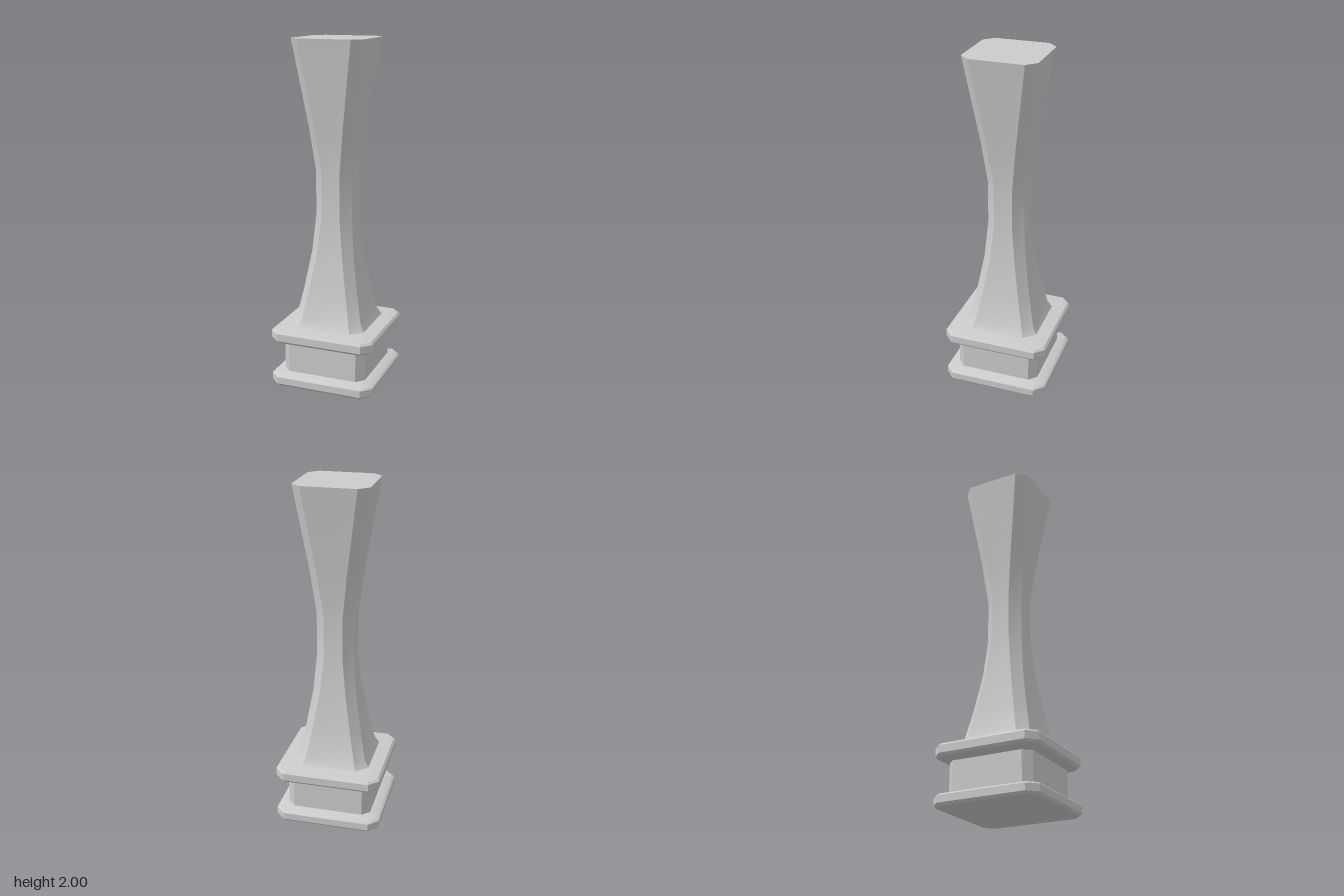
import * as THREE from 'three';
import { toCreasedNormals } from 'three/addons/utils/BufferGeometryUtils.js';

// Square with chamfered corners: h = half width, f = half length of the flat side
const outline = (h, f) => [
  [h, -f], [h, f], [f, h], [-f, h], [-h, f], [-h, -f], [-f, -h], [f, -h],
];

// Loft through [y, h, f] sections, closed at both ends
function loft(sections) {
  const pos = [], index = [], n = 8;
  for (const [y, h, f] of sections)
    for (const [x, z] of outline(h, f)) pos.push(x, y, z);
  for (let s = 0; s < sections.length - 1; s++) {
    for (let i = 0; i < n; i++) {
      const a = s * n + i, b = s * n + (i + 1) % n;
      index.push(a, a + n, b, b, a + n, b + n);
    }
  }
  const top = (sections.length - 1) * n;
  for (let i = 1; i < n - 1; i++) {
    index.push(0, i, i + 1);
    index.push(top, top + i + 1, top + i);
  }
  const geo = new THREE.BufferGeometry();
  geo.setAttribute('position', new THREE.Float32BufferAttribute(pos, 3));
  geo.setIndex(index);
  return toCreasedNormals(geo, 0.5);
}

export function createModel() {
  const group = new THREE.Group();
  const material = new THREE.MeshStandardMaterial({ color: 0xcccccc });
  const add = (name, sections) => {
    const mesh = new THREE.Mesh(loft(sections), material);
    mesh.name = name;
    group.add(mesh);
  };

  // Bevelled foot, plinth block and upper moulding in one stepped profile
  add('base', [
    [0, 0.298, 0.25],
    [0.015, 0.312, 0.257],
    [0.055, 0.312, 0.257],
    [0.065, 0.3, 0.252],
    [0.077, 0.25, 0.207],
    [0.25, 0.25, 0.207],
    [0.268, 0.3, 0.252],
    [0.282, 0.312, 0.257],
    [0.325, 0.312, 0.257],
    [0.337, 0.3, 0.252],
    [0.35, 0.225, 0.16],
  ]);

  // Waisted shaft, flaring at the foot and towards the flat top
  add('shaft', [
    [0.35, 0.225, 0.16],
    [0.39, 0.2, 0.146],
    [0.56, 0.165, 0.113],
    [0.78, 0.128, 0.077],
    [1.0, 0.11, 0.055],
    [1.25, 0.11, 0.055],
    [1.5, 0.139, 0.084],
    [2.0, 0.212, 0.157],
  ]);

  return group;
}
